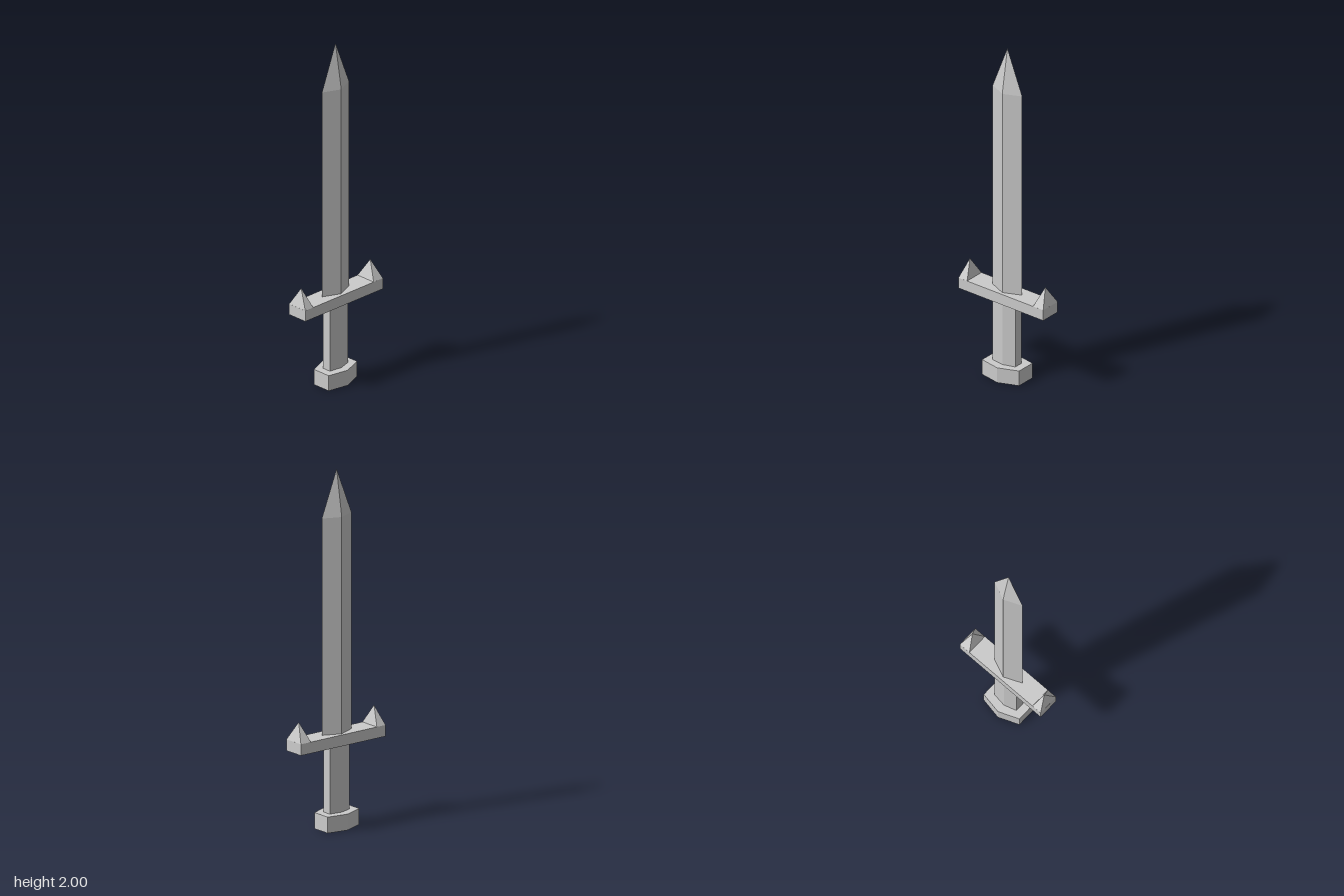
import * as THREE from 'three';

const material = new THREE.MeshStandardMaterial({ color: 0xcccccc, flatShading: true });

function add(parent, name, geometry, x, y, z) {
  const mesh = new THREE.Mesh(geometry, material);
  mesh.name = name;
  mesh.position.set(x, y, z);
  parent.add(mesh);
  return mesh;
}

// Slightly skewed hexagon (x, z), used by both the pommel and the grip
const HEX = [[-0.004, -0.091], [0.118, -0.069], [0.118, 0.045], [0.004, 0.091], [-0.118, 0.069], [-0.118, -0.045]];

function hexPrism(scaleX, scaleZ, height) {
  const shape = new THREE.Shape(HEX.map(([x, z]) => new THREE.Vector2(x * scaleX, -z * scaleZ)));
  return new THREE.ExtrudeGeometry(shape, { depth: height, bevelEnabled: false }).rotateX(-Math.PI / 2);
}

// Four-sided prism or point with a diamond section
function diamond(topRadius, halfX, halfZ, height) {
  return new THREE.CylinderGeometry(topRadius, 1, height, 4)
    .translate(0, height / 2, 0)
    .scale(halfX, 1, halfZ);
}

// Pyramid on a rectangular base
function pyramid(width, height, depth) {
  return new THREE.CylinderGeometry(0, Math.SQRT1_2, height, 4)
    .rotateY(Math.PI / 4)
    .translate(0, height / 2, 0)
    .scale(width, 1, depth);
}

export function createModel() {
  const sword = new THREE.Group();
  sword.name = 'sword';

  // Handle
  add(sword, 'pommel', hexPrism(1, 1, 0.09), -0.006, 0, -0.001);
  add(sword, 'grip', hexPrism(0.62, 0.47, 0.375), -0.006, 0.09, 0);

  // Crossguard with a spike at each end
  add(sword, 'guard', new THREE.BoxGeometry(0.585, 0.063, 0.124), -0.001, 0.497, -0.001);
  add(sword, 'guardSpikeRight', pyramid(0.06, 0.104, 0.124), -0.263, 0.528, -0.001);
  add(sword, 'guardSpikeLeft', pyramid(0.07, 0.104, 0.124), 0.2565, 0.528, -0.001);

  // Blade
  add(sword, 'blade', diamond(1, 0.102, 0.044, 1.212), -0.005, 0.528, -0.001);
  add(sword, 'bladeTip', diamond(0, 0.102, 0.044, 0.26), -0.005, 1.74, -0.001);

  return sword;
}
